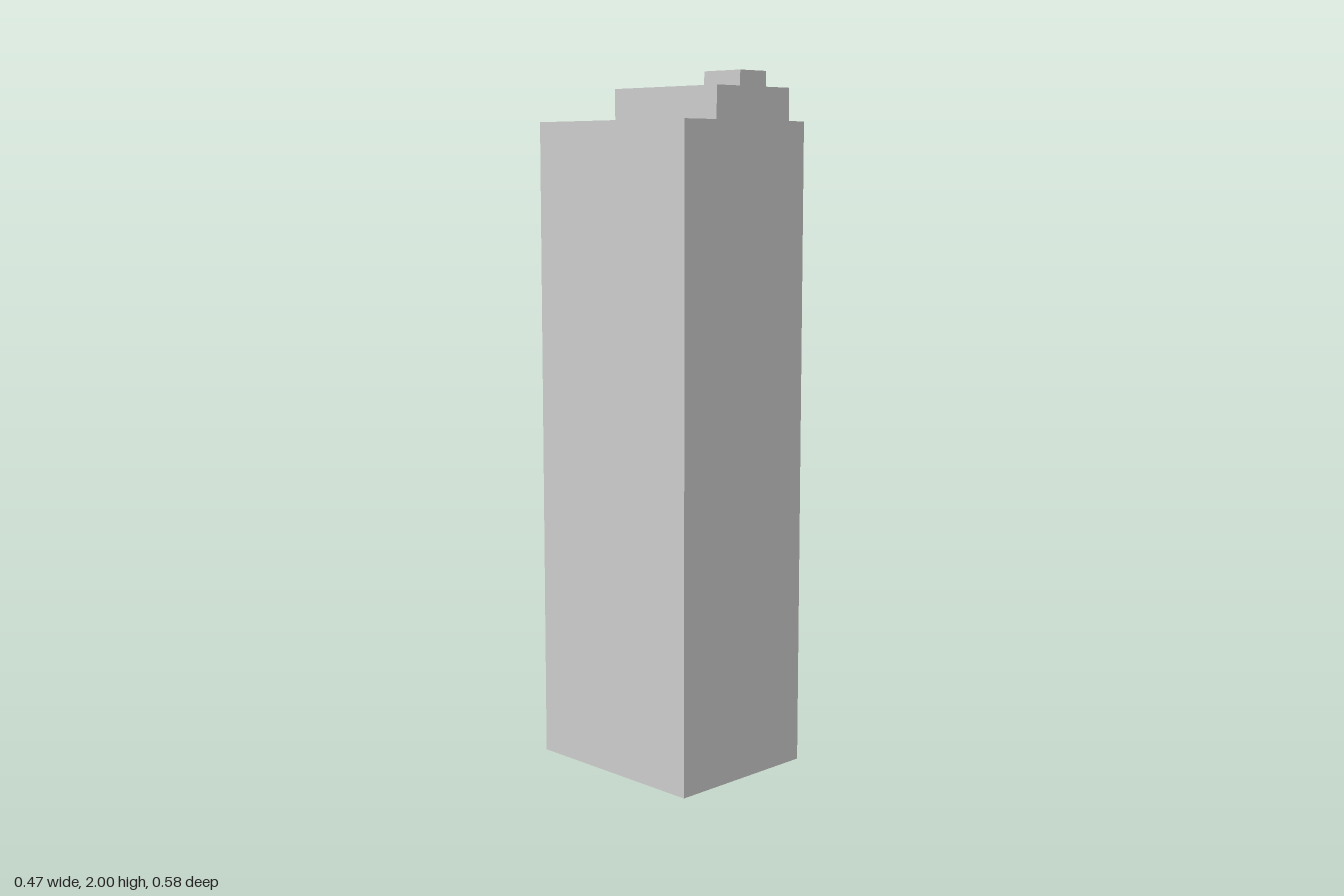
import * as THREE from 'three';

const material = new THREE.MeshStandardMaterial({ color: 0xcccccc, flatShading: true, side: THREE.DoubleSide });

// Box between two corners, without its underside
function openBox(name, [x0, y0, z0], [x1, y1, z1]) {
  const geometry = new THREE.BoxGeometry(x1 - x0, y1 - y0, z1 - z0);
  const index = Array.from(geometry.index.array);
  index.splice(18, 6); // the fourth face points down
  geometry.setIndex(index);
  geometry.clearGroups();
  const mesh = new THREE.Mesh(geometry, material);
  mesh.name = name;
  mesh.position.set((x0 + x1) / 2, (y0 + y1) / 2, (z0 + z1) / 2);
  return mesh;
}

export function createModel() {
  const model = new THREE.Group();
  model.name = 'towerBlock';
  model.add(
    // Main shaft, open at the ground
    openBox('tower', [-0.237, 0, -0.292], [0.237, 1.86, 0.292]),
    // Stepped rooftop, set towards the front left corner
    openBox('roofStorey', [-0.085, 1.86, -0.14], [0.207, 1.953, 0.262]),
    openBox('roofCap', [0.063, 1.953, 0.07], [0.168, 2, 0.209]),
  );
  return model;
}
